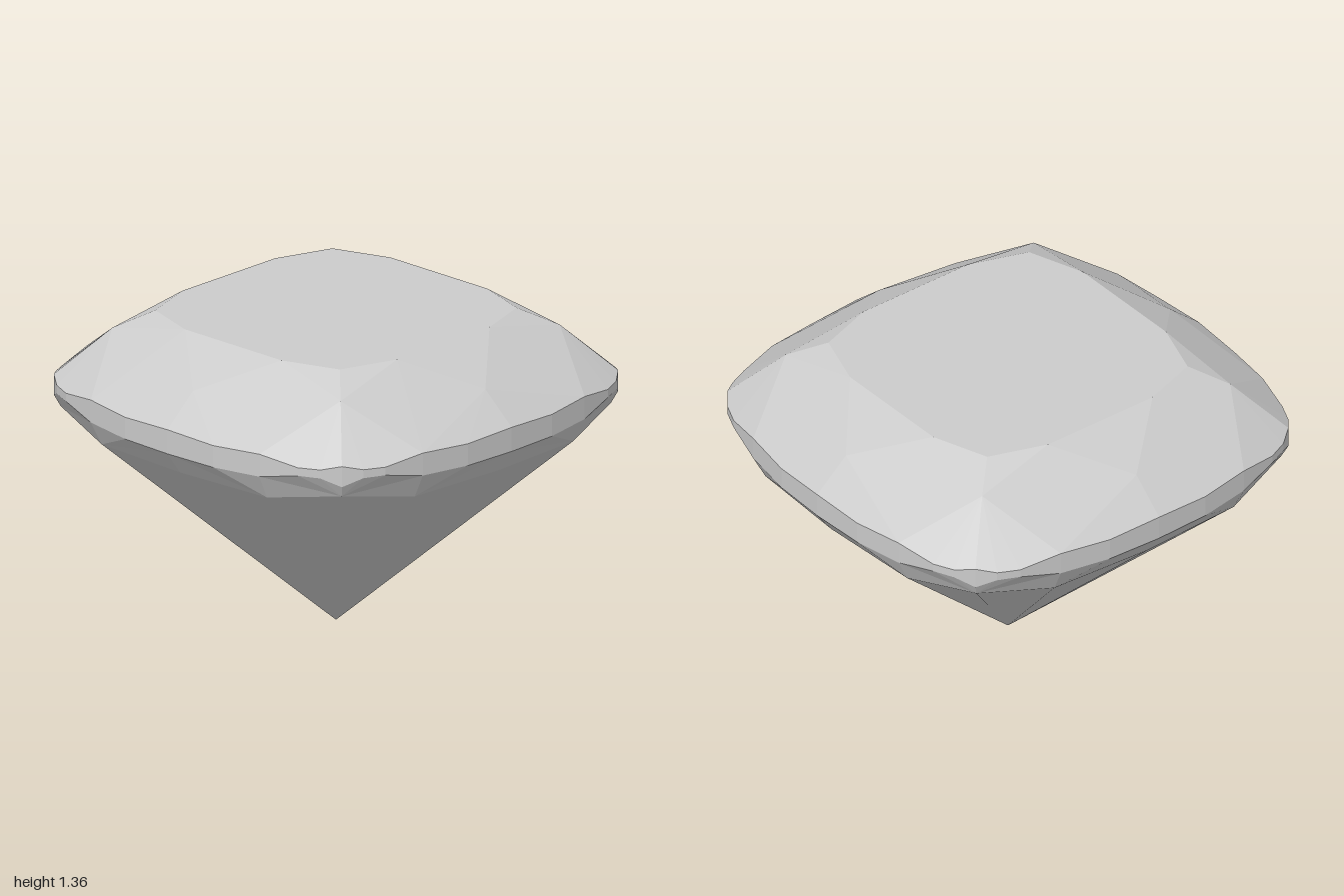
import * as THREE from 'three';

// Facet corners in one eighth of the stone, from the middle of a side (x = 0) to the diagonal (x = z)
const culet = [0, 0, 0];
const tableCentre = [0, 1.355, 0];
const tableMid = [0, 1.355, 0.61];
const tableSide = [0.275, 1.355, 0.61];
const tableCorner = [0.525, 1.355, 0.525];
const star = [0, 1.215, 0.85];
const bezel = [0.65, 1.28, 0.65];
const breakMid = [0, 0.88, 0.925];
const breakSide = [0.47, 0.88, 0.9];
const breakCorner = [0.8, 0.94, 0.8];

// Girdle outline: x, z, scalloped upper edge, scalloped lower edge
const outline = [
  [0, 1, 1.085, 0.98], [0.25, 0.99, 1.075, 0.98], [0.48, 0.955, 1.085, 0.987],
  [0.66, 0.915, 1.06, 1.025], [0.75, 0.875, 1.062, 1.025], [0.82, 0.82, 1.08, 0.99],
];
const upper = outline.map(([x, z, y]) => [x, y, z]);
const lower = outline.map(([x, z, , y]) => [x, y, z]);

// Repeats convex facets around the stone: mirrored on the diagonal and turned by quarters
function facetMesh(name, facets, material) {
  const positions = [];
  const inside = new THREE.Vector3(0, 0.8, 0);
  for (let i = 0; i < 8; i++) {
    const place = ([x, y, z]) => {
      const v = i % 2 ? new THREE.Vector3(z, y, x) : new THREE.Vector3(x, y, z);
      return v.applyAxisAngle(THREE.Object3D.DEFAULT_UP, Math.floor(i / 2) * Math.PI / 2);
    };
    for (const facet of facets) {
      const p = facet.map(place);
      for (let k = 1; k < p.length - 1; k++) {
        const tri = new THREE.Triangle(p[0], p[k], p[k + 1]);
        const out = tri.getMidpoint(new THREE.Vector3()).sub(inside);
        const outward = tri.getNormal(new THREE.Vector3()).dot(out) > 0;
        const corners = outward ? [tri.a, tri.b, tri.c] : [tri.a, tri.c, tri.b];
        for (const c of corners) positions.push(c.x, c.y, c.z);
      }
    }
  }
  const geometry = new THREE.BufferGeometry();
  geometry.setAttribute('position', new THREE.Float32BufferAttribute(positions, 3));
  geometry.computeVertexNormals();
  const mesh = new THREE.Mesh(geometry, material);
  mesh.name = name;
  return mesh;
}

export function createModel() {
  const gem = new THREE.Group();
  gem.name = 'cushionCutGem';
  const material = new THREE.MeshStandardMaterial({ color: 0xcccccc, flatShading: true });

  // Flat top
  gem.add(facetMesh('table', [[tableCentre, tableMid, tableSide, tableCorner]], material));

  // Sloping facets between table and girdle
  gem.add(facetMesh('crown', [
    [tableMid, tableSide, star],
    [tableSide, tableCorner, bezel],
    [tableSide, bezel, upper[2], star],
    [star, ...upper.slice(0, 3)],
    [bezel, ...upper.slice(2)],
  ], material));

  // Upright rim with scalloped edges
  const rim = [];
  for (let i = 0; i < outline.length - 1; i++) {
    rim.push([lower[i], lower[i + 1], upper[i + 1], upper[i]]);
  }
  gem.add(facetMesh('girdle', rim, material));

  // Break facets under the girdle and long facets down to the point
  gem.add(facetMesh('pavilion', [
    [breakSide, breakMid, lower[0], lower[1], lower[2]],
    [breakCorner, breakSide, ...lower.slice(2)],
    [culet, breakMid, breakSide],
    [culet, breakSide, breakCorner],
  ], material));

  return gem;
}
